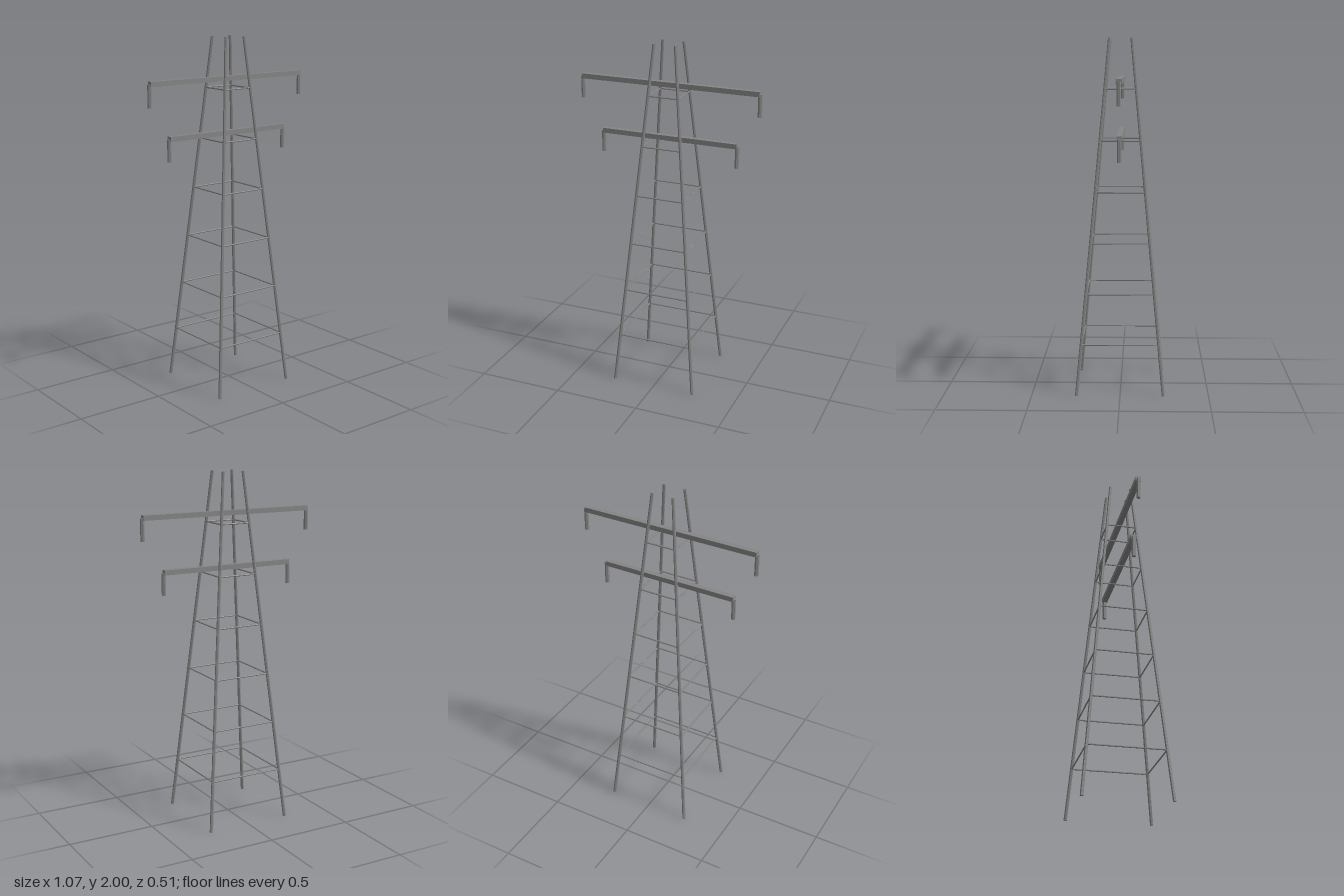
import * as THREE from 'three';

const steel = new THREE.MeshStandardMaterial({ color: 0x858585, flatShading: true });
steel.name = 'steel grey';

// Six-sided rod running from point a to point b
function rod(name, a, b, radiusA, radiusB = radiusA) {
  const dir = b.clone().sub(a);
  const mesh = new THREE.Mesh(new THREE.CylinderGeometry(radiusB, radiusA, dir.length(), 6), steel);
  mesh.position.copy(a).add(b).multiplyScalar(0.5);
  mesh.quaternion.setFromUnitVectors(new THREE.Vector3(0, 1, 0), dir.normalize());
  mesh.name = name;
  return mesh;
}

const V = (x, y, z) => new THREE.Vector3(x, y, z);
const HEIGHT = 2;
const spread = (y) => THREE.MathUtils.lerp(0.245, 0.062, y / HEIGHT);
const corners = [[1, 1], [-1, 1], [-1, -1], [1, -1]];
const cornerAt = ([sx, sz], y) => V(sx * spread(y), y, sz * spread(y));

export function createModel() {
  const tower = new THREE.Group();
  tower.name = 'latticeTower';

  // Four legs leaning towards the centre
  for (const c of corners) {
    tower.add(rod('leg', cornerAt(c, 0), cornerAt(c, HEIGHT), 0.0095, 0.0085));
  }

  // Square rings of horizontal braces
  for (let k = 1; k <= 6; k++) {
    const y = (HEIGHT * k) / 7 + 0.002;
    const ring = new THREE.Group();
    ring.name = 'braceRing';
    corners.forEach((c, i) => {
      ring.add(rod('brace', cornerAt(c, y), cornerAt(corners[(i + 1) % 4], y), 0.0045));
    });
    tower.add(ring);
  }

  // Two crossarms with an insulator hanging from each end
  for (const [y, half] of [[1.769, 0.523], [1.464, 0.401]]) {
    const arm = new THREE.Group();
    arm.name = 'crossarm';
    const beam = new THREE.Mesh(new THREE.BoxGeometry(half * 2, 0.028, 0.031), steel);
    beam.name = 'beam';
    beam.position.y = y;
    arm.add(beam);
    for (const s of [-1, 1]) {
      arm.add(rod('insulator', V(s * half, y - 0.127, 0), V(s * half, y - 0.003, 0), 0.012));
    }
    tower.add(arm);
  }

  return tower;
}
